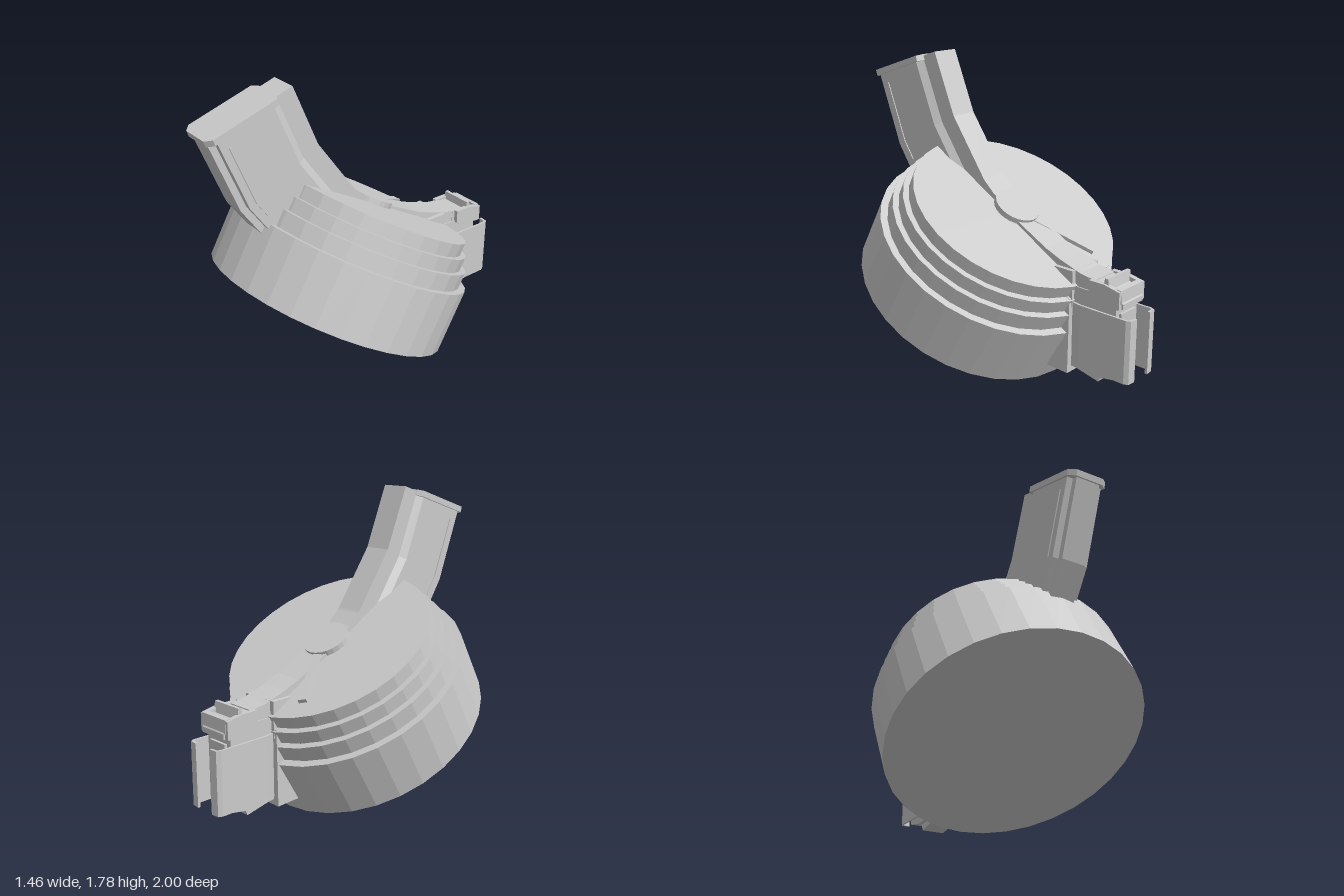
import * as THREE from 'three';

const grey = new THREE.MeshStandardMaterial({ color: 0xcbcbcb, flatShading: true });
grey.name = 'plain grey';

function part(name, geometry, parent) {
  const mesh = new THREE.Mesh(geometry, grey);
  mesh.name = name;
  parent.add(mesh);
  return mesh;
}

// Side outline given as [z, y], extruded symmetrically across x
function slab(outline, half, centre = 0) {
  const shape = new THREE.Shape(outline.map(p => new THREE.Vector2(p[0], p[1])));
  return new THREE.ExtrudeGeometry(shape, { depth: half * 2, bevelEnabled: false })
    .translate(0, 0, -half).rotateY(-Math.PI / 2).translate(centre, 0, 0);
}

// Plan outline given as [x, z], extruded from y0 to y1
function column(outline, y0, y1) {
  const shape = new THREE.Shape(outline.map(p => new THREE.Vector2(p[0], -p[1])));
  return new THREE.ExtrudeGeometry(shape, { depth: y1 - y0, bevelEnabled: false })
    .rotateX(-Math.PI / 2).translate(0, y0, 0);
}

// Loft of a mirrored section: half = [fraction front to back, x],
// stations = [front z, front y, back z, back y] from top to bottom
function loft(half, stations) {
  const n = half.length, pos = [];
  const ring = [...half, ...half.slice().reverse().map(([t, x]) => [t, -x])];
  const rows = stations.map(([fz, fy, bz, by]) =>
    ring.map(([t, x]) => [x, fy + (by - fy) * t, fz + (bz - fz) * t]));
  const tri = (...corners) => corners.forEach(c => pos.push(...c));
  for (let r = 0; r < rows.length - 1; r++) {
    for (let i = 0; i < ring.length; i++) {
      const j = (i + 1) % ring.length, a = rows[r], b = rows[r + 1];
      tri(a[i], b[i], a[j]);
      tri(a[j], b[i], b[j]);
    }
  }
  const top = rows[0], end = rows[rows.length - 1];
  for (let i = 0; i < n - 1; i++) {
    const k = ring.length - 1 - i;
    tri(top[i], top[i + 1], top[k - 1]);
    tri(top[i], top[k - 1], top[k]);
    tri(end[i], end[k - 1], end[i + 1]);
    tri(end[i], end[k], end[k - 1]);
  }
  const g = new THREE.BufferGeometry();
  g.setAttribute('position', new THREE.Float32BufferAttribute(pos, 3));
  g.computeVertexNormals();
  return g;
}

export function createModel() {
  const model = new THREE.Group();
  model.name = 'steppedDrumWithArm';

  // Tilted drum with three steps
  const drum = new THREE.Group();
  drum.name = 'drum';
  drum.position.set(0, 0.375, 0.225);
  drum.rotation.x = -Math.PI / 6;
  model.add(drum);
  const tiers = [[0.732, 0, 0.384], [0.69, 0.384, 0.482], [0.655, 0.482, 0.563], [0.621, 0.563, 0.642]];
  tiers.forEach(([r, y0, y1], i) => part('drumTier' + (i + 1),
    new THREE.CylinderGeometry(r, r, y1 - y0, 32).translate(0, (y0 + y1) / 2, 0), drum));

  // Hub and winding lever on the drum lid
  part('hub', new THREE.CylinderGeometry(0.135, 0.135, 0.04, 24).translate(0, 0.655, 0), drum);
  const lever = part('lever', new THREE.BoxGeometry(0.05, 0.025, 0.38), drum);
  lever.position.set(-0.13, 0.652, -0.29);
  lever.rotation.y = Math.atan2(0.17, 0.31);

  // Curved arm rising from the front of the drum
  const stations = [[0.98, 1.62, 0.47, 1.79], [0.81, 1.18, 0.32, 1.43], [0.62, 0.9, 0.07, 1.08]];
  part('arm', loft([[0, 0.073], [0.07, 0.073], [0.07, 0.11], [0.72, 0.11], [0.8, 0.083], [1, 0.083]],
    stations), model);
  const ribTop = [0.95, 1.54, 0.44, 1.72];
  part('armRibs', loft([[0.15, 0.116], [0.18, 0.116]],
    [ribTop, stations[1], [0.74, 1.08, 0.24, 1.3]]), model);

  // End plate with cut corners
  const w = 0.122, c = 0.085;
  const plate = part('armEndPlate', column([[-c, 0.225], [c, 0.225], [w, 0.19], [w, -0.2],
    [c, -0.225], [-c, -0.225], [-w, -0.2], [-w, 0.19]], -0.035, 0), model);
  plate.position.set(0, 1.697, 0.782);
  plate.rotation.x = Math.atan2(0.14, 0.43);

  // Strap across the lid
  part('frontStrap', slab([[0.15, 1.17], [0.07, 1.083], [0, 1.02], [-0.12, 0.945],
    [-0.12, 0.85], [0.15, 1.0]], 0.083), model);
  part('backStrap', slab([[-0.1, 0.945], [-0.2, 0.89], [-0.4, 0.785], [-0.5, 0.745], [-0.64, 0.7],
    [-0.74, 0.685], [-0.74, 0.5], [-0.5, 0.55], [-0.1, 0.85]], 0.088), model);

  // Bracket hugging the back of the drum
  part('bracket', slab([[-0.42, 0.11], [-0.6, 0.105], [-0.605, 0.55], [-0.5, 0.6], [-0.42, 0.5]], 0.13), model);
  part('bracketTop', slab([[-0.48, 0.71], [-0.61, 0.71], [-0.61, 0.5], [-0.48, 0.5]], 0.115), model);

  // Rear housing and its foot
  part('housing', slab([[-0.58, 0.14], [-0.78, 0.13], [-0.89, 0.15], [-0.89, 0.56],
    [-0.72, 0.62], [-0.58, 0.62]], 0.095), model);
  part('foot', slab([[-0.6, 0.15], [-0.6, 0.125], [-0.77, 0.09], [-0.79, 0.14]], 0.07), model);
  part('innerPanel', slab([[-0.88, 0.24], [-0.905, 0.27], [-0.905, 0.53], [-0.88, 0.53]], 0.065), model);

  // Open channel: side walls curling inward at the rear
  for (const s of [1, -1]) {
    const plan = [[0.095, -0.61], [0.108, -0.61], [0.12, -0.67], [0.12, -0.97], [0.108, -0.995],
      [0.06, -1], [0.06, -0.985], [0.1, -0.98], [0.107, -0.965], [0.107, -0.67]];
    part(s > 0 ? 'leftChannelWall' : 'rightChannelWall',
      column(plan.map(([x, z]) => [x * s, z]), 0.165, 0.53), model);
    // Raised lips over the housing
    part(s > 0 ? 'leftLip' : 'rightLip', slab([[-0.72, 0.69], [-0.72, 0.61], [-0.75, 0.585],
      [-0.9, 0.57], [-0.92, 0.57], [-0.92, 0.67], [-0.82, 0.69]], 0.015, s * 0.1), model);
  }

  // Cross pieces on top of the housing
  part('topBlock', slab([[-0.7, 0.685], [-0.815, 0.67], [-0.9, 0.64], [-0.93, 0.6],
    [-0.93, 0.57], [-0.85, 0.55], [-0.7, 0.55]], 0.09), model);
  part('crossRidge', slab([[-0.815, 0.72], [-0.835, 0.72], [-0.845, 0.66], [-0.805, 0.66]], 0.1), model);
  part('rearRidge', slab([[-0.89, 0.68], [-0.92, 0.675], [-0.925, 0.6], [-0.89, 0.6]], 0.1), model);
  return model;
}
